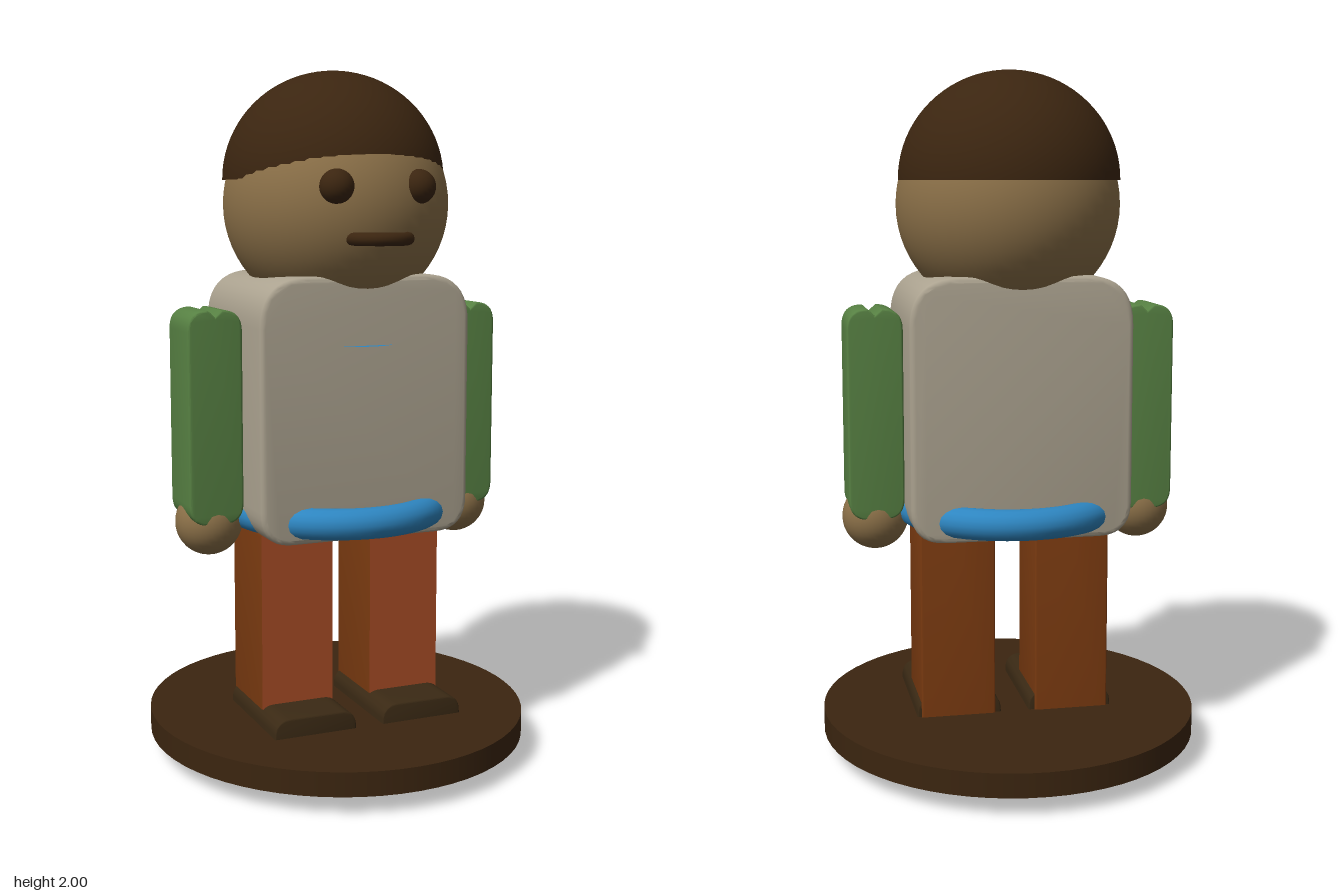
import * as THREE from 'three';
import { toCreasedNormals } from 'three/addons/utils/BufferGeometryUtils.js';

const mat = (name, color, extra = {}) => {
  const m = new THREE.MeshStandardMaterial({ color, ...extra });
  m.name = name;
  return m;
};

// Rounded rectangle centred on the origin; notch dents the middle of the top and bottom edges
function roundedShape(w, h, rTop, rBottom = rTop, notch = 0) {
  const x = w / 2, y = h / 2, s = new THREE.Shape();
  s.moveTo(x, -y + rBottom);
  s.lineTo(x, y - rTop);
  s.quadraticCurveTo(x, y, x - rTop, y);
  if (notch) s.lineTo(0, y - notch);
  s.lineTo(-x + rTop, y);
  s.quadraticCurveTo(-x, y, -x, y - rTop);
  s.lineTo(-x, -y + rBottom);
  s.quadraticCurveTo(-x, -y, -x + rBottom, -y);
  if (notch) s.lineTo(0, -y + notch);
  s.lineTo(x - rBottom, -y);
  s.quadraticCurveTo(x, -y, x, -y + rBottom);
  return s;
}

// Shape extruded along z to a total depth, centred, with a small soft bevel
function block(shape, depth, bevel) {
  const g = new THREE.ExtrudeGeometry(shape, {
    depth: depth - 2 * bevel, bevelThickness: bevel, bevelSize: bevel,
    bevelOffset: -bevel, bevelSegments: 3, curveSegments: 10,
  });
  g.translate(0, 0, -depth / 2 + bevel);
  return toCreasedNormals(g, 0.6);
}

export function createModel() {
  const model = new THREE.Group();
  model.name = 'figurine';

  const skin = mat('skin', 0x8b7048);
  const dark = mat('darkBrown', 0x3b2510, { side: THREE.DoubleSide });
  const shirt = mat('shirt', 0xaca390);
  const sleeve = mat('sleeve', 0x578143);
  const blue = mat('blue', 0x2e86c1);
  const trouser = mat('trouser', 0x7a3a10);
  const trouserFront = mat('trouserFront', 0xa54a25);
  const shoe = mat('shoe', 0x3a2914);

  const add = (name, geometry, material, x = 0, y = 0, z = 0) => {
    const m = new THREE.Mesh(geometry, material);
    m.name = name;
    m.position.set(x, y, z);
    model.add(m);
    return m;
  };

  // Oval stand
  add('base', new THREE.CylinderGeometry(1, 1, 0.07, 64), dark, 0, 0.09, 0)
    .scale.set(0.557, 1, 0.587);

  // Torso with belt ring and the edge of a chest disc
  add('torso', block(roundedShape(0.64, 0.75, 0.14, 0.1), 0.47, 0.015), shirt, 0, 1.05, 0);
  add('belt', new THREE.TorusGeometry(0.292, 0.045, 16, 64).rotateX(Math.PI / 2), blue, 0, 0.735, 0);
  add('chestDisc', new THREE.CircleGeometry(0.12, 32).rotateX(-Math.PI / 2), blue, 0, 1.23, 0.143);

  // Head and hair cap
  add('head', new THREE.SphereGeometry(1, 48, 32), skin, 0, 1.62, 0).scale.set(0.324, 0.32, 0.34);
  add('hair', new THREE.SphereGeometry(1, 48, 20, 0, Math.PI * 2, 0, Math.PI / 2), dark, 0, 1.69, -0.02)
    .scale.set(0.319, 0.31, 0.335);

  // Mouth: half ring lying flat, with rounded ends sunk in the face
  add('mouth', new THREE.TorusGeometry(0.08, 0.018, 12, 32, Math.PI).rotateX(Math.PI / 2), dark, 0, 1.53, 0.305);

  const armGeo = block(roundedShape(0.16, 0.61, 0.06, 0.06, 0.018), 0.18, 0.006);
  const legShape = roundedShape(0.22, 0.72, 0.05, 0.05, 0.012);
  const legGeo = block(legShape, 0.24, 0.004);
  const shoeGeo = block(roundedShape(0.25, 0.1, 0.05, 0.01), 0.37, 0.004);

  for (const [side, s] of [['left', 1], ['right', -1]]) {
    add(side + 'Eye', new THREE.SphereGeometry(0.048, 24, 16), dark, s * 0.122, 1.67, 0.3);
    add(side + 'Arm', armGeo, sleeve, s * 0.4, 1.025, 0);
    add(side + 'Hand', new THREE.SphereGeometry(0.097, 32, 20), skin, s * 0.397, 0.715, 0);
    add(side + 'Leg', legGeo, trouser, s * 0.17, 0.36, 0);
    add(side + 'LegFront', new THREE.ShapeGeometry(legShape, 10), trouserFront, s * 0.17, 0.36, 0.122);
    add(side + 'Shoe', shoeGeo, shoe, s * 0.167, 0.13, 0.072);
  }
  return model;
}
